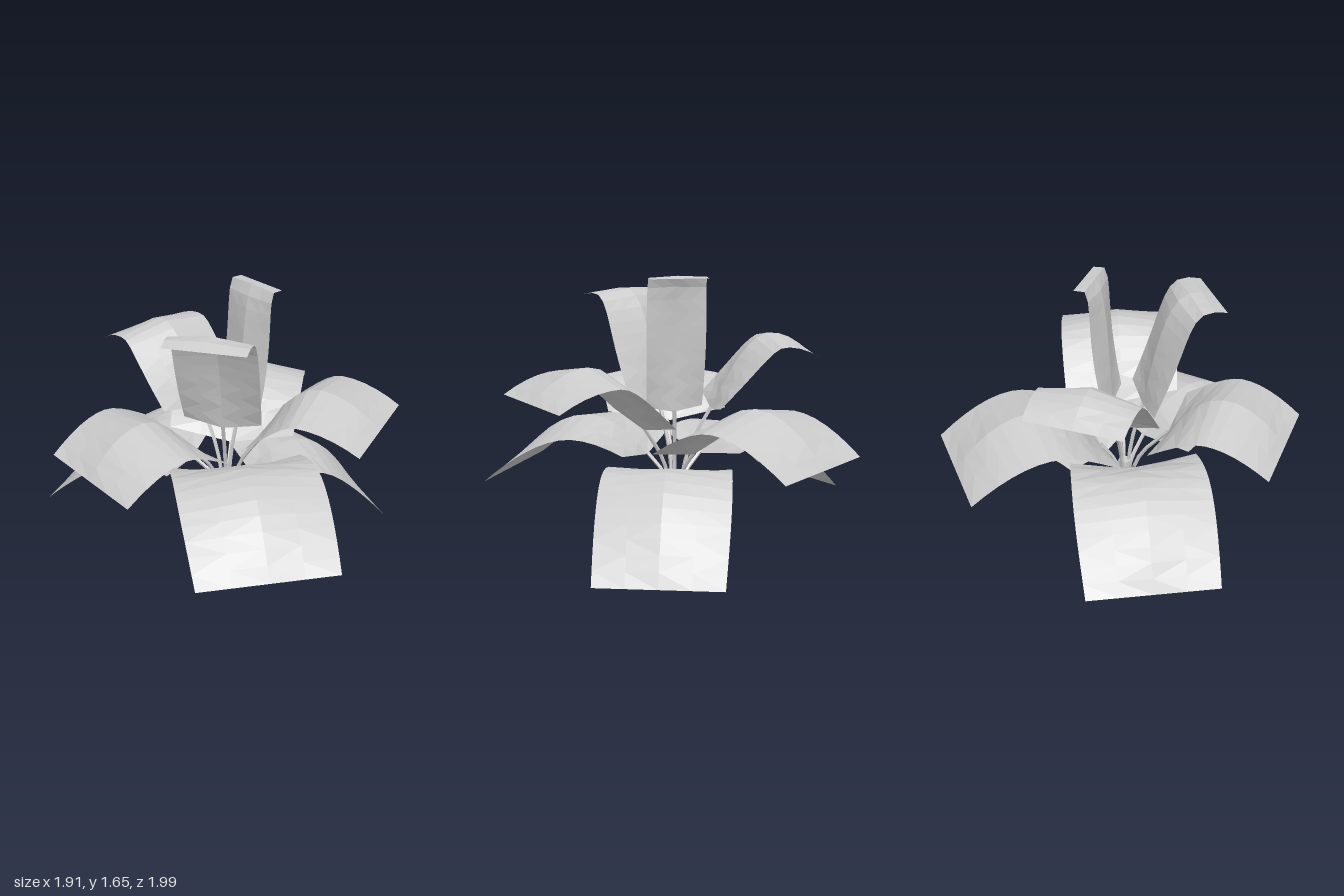
import * as THREE from 'three';

const grey = new THREE.MeshStandardMaterial({ color: 0xcccccc, flatShading: true, side: THREE.DoubleSide });
grey.name = 'pale grey';

// base and tip are [x, z]; heights are at the base, crest and tip;
// crest is how far outward the highest point lies; steep bends the rise more sharply
const LEAVES = [
  // lower ring
  { name: 'frontLowLeaf', base: [0.06, 0.15], tip: [0.14, 0.957], width: 0.72, heights: [0.67, 0.867, 0.535], crest: 0.42 },
  { name: 'leftLowLeaf', base: [0.16, -0.04], tip: [0.842, -0.29], width: 0.64, heights: [0.57, 0.697, 0.24], crest: 0.36 },
  { name: 'rightLowLeaf', base: [-0.15, -0.07], tip: [-0.803, -0.41], width: 0.68, heights: [0.65, 0.79, 0.41], crest: 0.38 },
  // middle ring
  { name: 'backMiddleLeaf', base: [0.07, -0.13], tip: [0.268, -0.912], width: 0.69, heights: [0.7, 1.0, 0.75], crest: 0.5 },
  { name: 'rightMiddleLeaf', base: [-0.17, 0.14], tip: [-0.7, 0.497], width: 0.66, heights: [0.81, 1.085, 0.877], crest: 0.5 },
  { name: 'leftMiddleLeaf', base: [0.2, 0.1], tip: [0.757, 0.442], width: 0.616, heights: [0.84, 1.205, 1.052], crest: 0.5 },
  // upright crown
  { name: 'backUpperLeaf', base: [-0.09, -0.16], tip: [-0.39, -0.598], width: 0.517, heights: [0.92, 1.33, 1.225], crest: 0.6, steep: 1.8 },
  { name: 'frontUpperLeaf', base: [0, 0.1], tip: [-0.127, 0.455], width: 0.42, heights: [0.92, 1.555, 1.525], crest: 0.72, steep: 2.5 },
  { name: 'leftUpperLeaf', base: [0.1, -0.03], tip: [0.22, -0.12], width: 0.3, heights: [0.93, 1.655, 1.642], crest: 0.7, steep: 3.2 },
];

const ROWS = 12, COLS = 4;

// Midrib in the leaf's own plane: a curve up to the crest, then a parabola down to the tip
function midrib(length, [baseY, crestY, tipY], crest, steep = 2) {
  const points = [];
  for (let i = 0; i <= 16; i++) {
    const s = (i / 16) ** 1.5;
    const y = s < crest
      ? crestY - (crestY - baseY) * (1 - s / crest) ** steep
      : crestY - (crestY - tipY) * ((s - crest) / (1 - crest)) ** 2;
    points.push(new THREE.Vector2(s * length, y));
  }
  return new THREE.SplineCurve(points);
}

// Arched sheet: midrib swept sideways, ridged in the middle and cupped at the base
function leafGeometry({ base, tip, width, heights, crest, steep }) {
  const out = new THREE.Vector2(tip[0] - base[0], tip[1] - base[1]);
  const curve = midrib(out.length(), heights, crest, steep);
  out.normalize();
  const pos = [], index = [];
  for (let i = 0; i <= ROWS; i++) {
    const u = i / ROWS;
    const p = curve.getPointAt(u), t = curve.getTangentAt(u);
    const half = width * 0.5 * (1 + 0.05 * Math.sin(Math.PI * u));
    for (let j = 0; j <= COLS; j++) {
      const v = (j / COLS) * 2 - 1, a = Math.abs(v);
      const droop = a * width * 0.11 * Math.sin(Math.PI * u);
      const s = p.x + t.y * droop;
      const y = p.y - t.x * droop + a * width * 0.1 * (1 - u) ** 3;
      pos.push(base[0] + out.x * s - out.y * v * half, y, base[1] + out.y * s + out.x * v * half);
    }
  }
  for (let i = 0; i < ROWS; i++) {
    for (let j = 0; j < COLS; j++) {
      const a = i * (COLS + 1) + j, b = a + 1, c = a + COLS + 1, d = c + 1;
      // alternate the diagonals, all faces turned upward
      if (i % 2) index.push(a, b, c, b, d, c);
      else index.push(a, b, d, a, d, c);
    }
  }
  const g = new THREE.BufferGeometry();
  g.setAttribute('position', new THREE.Float32BufferAttribute(pos, 3));
  g.setIndex(index);
  g.computeVertexNormals();
  return g;
}

// Thin stalk rising from the trunk to the base of a leaf
function stalkGeometry({ base: [x, z], heights: [y] }) {
  const curve = new THREE.CatmullRomCurve3([
    new THREE.Vector3(0.03 + x * 0.1, 0.45, z * 0.1),
    new THREE.Vector3(0.03 + (x - 0.03) * 0.4, 0.45 + (y - 0.45) * 0.55, z * 0.4),
    new THREE.Vector3(x, y + 0.01, z),
  ]);
  return new THREE.TubeGeometry(curve, 5, 0.011, 5);
}

export function createModel() {
  const plant = new THREE.Group();
  plant.name = 'plant';
  const add = (name, geometry) => {
    const mesh = new THREE.Mesh(geometry, grey);
    mesh.name = name;
    plant.add(mesh);
    return mesh;
  };

  // Trunk
  add('trunk', new THREE.CylinderGeometry(0.036, 0.054, 0.58, 7)).position.set(0.032, 0.29, 0);

  // Leaves with their stalks
  for (const leaf of LEAVES) {
    add(leaf.name, leafGeometry(leaf));
    add(leaf.name + 'Stalk', stalkGeometry(leaf));
  }
  return plant;
}
